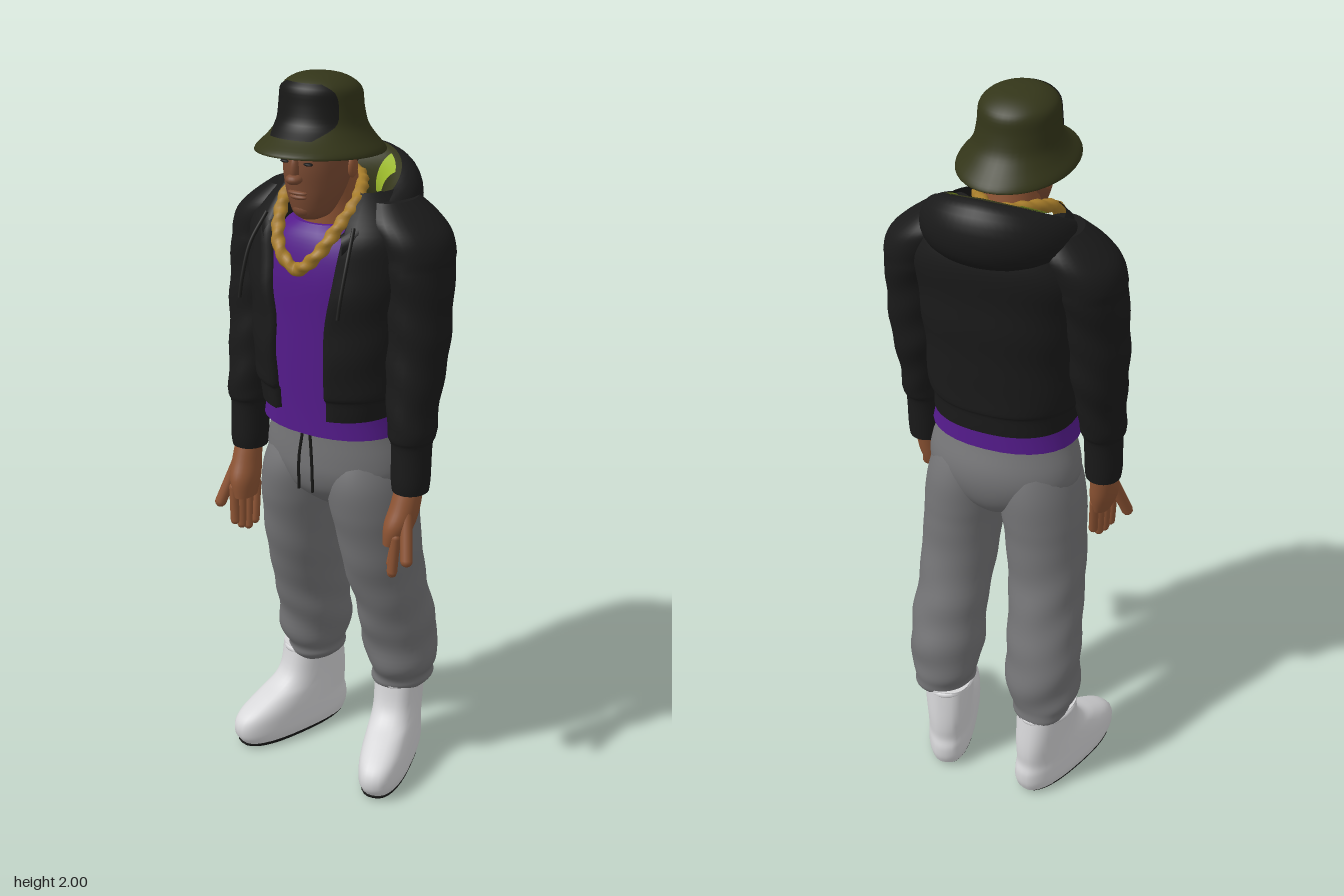
import * as THREE from 'three';

const mat = (name, color, side = THREE.FrontSide) => {
  const m = new THREE.MeshStandardMaterial({ color, side });
  m.name = name;
  return m;
};

// Smooth surface from a rule f(u, v); wrap closes it around u
function grid(nu, nv, wrap, f) {
  const pos = [], idx = [], w = wrap ? nu : nu + 1;
  for (let j = 0; j <= nv; j++) for (let i = 0; i < w; i++) pos.push(...f(i / nu, j / nv));
  for (let j = 0; j < nv; j++) for (let i = 0; i < nu; i++) {
    const a = j * w + i, b = j * w + (i + 1) % w;
    idx.push(a, b, b + w, a, b + w, a + w);
  }
  const g = new THREE.BufferGeometry();
  g.setAttribute('position', new THREE.Float32BufferAttribute(pos, 3));
  g.setIndex(idx);
  g.computeVertexNormals();
  return g;
}

// Catmull-Rom blend of number rows
function smooth(rows, k) {
  const out = [], n = rows.length - 1, at = i => rows[Math.min(n, Math.max(0, i))];
  for (let s = 0; s <= n * k; s++) {
    const i = Math.min(n - 1, Math.floor(s / k)), t = s / k - i;
    out.push(at(i).map((b, c) => {
      const a = at(i - 1)[c], d = at(i + 1)[c], e = at(i + 2)[c];
      return b + 0.5 * t * (d - a + t * (2 * a - 5 * b + 4 * d - e + t * (3 * (b - d) + e - a)));
    }));
  }
  return out;
}

// Stacked rings [y, cx, cz, rx, rz, openX]; power < 1 makes them boxier
function loft(rows, { k = 4, seg = 32, power = 1, mode = 'closed', fold = null } = {}) {
  let r = smooth(rows, k);
  if (mode === 'closed') {
    const flat = q => [q[0], q[1], q[2], 0, 0];
    r = [flat(r[0]), r[0], ...r, r[r.length - 1], flat(r[r.length - 1])];
  }
  const nv = r.length - 1, pw = v => Math.sign(v) * Math.abs(v) ** power;
  return grid(seg, nv, mode === 'closed', (u, v) => {
    const [y, cx, cz, rx, rz, ox] = r[Math.round(v * nv)];
    let a = u * Math.PI * 2, scale = 1;
    if (mode !== 'closed') {
      const h = Math.asin(Math.min(1, Math.max(0, ox / rx)) ** (1 / power));
      if (mode === 'front') a = (u * 2 - 1) * h;
      else {
        const w = Math.min(1, Math.max(0, (u * seg - 1) / (seg - 2)));
        a = h + w * (Math.PI * 2 - 2 * h);
        if (u === 0 || u === 1) scale = 0.9; // front edges turn inward
      }
    }
    if (fold) scale *= 1 + fold(a, y);
    return [cx + rx * scale * pw(Math.sin(a)), y, cz + rz * scale * pw(Math.cos(a))];
  });
}

const tube = (pts, r, closed = false) => new THREE.TubeGeometry(
  new THREE.CatmullRomCurve3(pts.map(p => new THREE.Vector3(...p)), closed), 48, r, 8, closed);

export function createModel() {
  const model = new THREE.Group();
  model.name = 'figure';
  const M = {
    jacket: mat('jacket black', 0x1a1a1a, THREE.DoubleSide),
    shirt: mat('shirt purple', 0x541b8b),
    pants: mat('sweatpants grey', 0x747476),
    shoe: mat('shoe white', 0xd6d6d8),
    skin: mat('skin brown', 0x8c5333),
    face: mat('face brown', 0x7a4a32),
    hat: mat('hat olive', 0x333519),
    dark: mat('charcoal', 0x181817, THREE.DoubleSide),
    gold: mat('gold', 0xa67c2a),
    lime: mat('lime', 0x98b52a, THREE.DoubleSide),
  };
  const add = (name, geo, m, parent = model) => {
    const mesh = new THREE.Mesh(geo, m);
    mesh.name = name;
    parent.add(mesh);
    return mesh;
  };
  const ball = (name, m, p, s) => {
    const b = add(name, new THREE.SphereGeometry(1, 16, 12), m);
    b.position.set(...p);
    b.scale.set(...s);
  };
  const finger = (name, p, q, r) => {
    const a = new THREE.Vector3(...p), b = new THREE.Vector3(...q), d = b.clone().sub(a);
    const f = add(name, new THREE.CapsuleGeometry(r, d.length(), 4, 10), M.skin);
    f.position.copy(a).add(b).multiplyScalar(0.5);
    f.quaternion.setFromUnitVectors(new THREE.Vector3(0, 1, 0), d.normalize());
  };

  // Sweatpants: hips and folded legs
  add('hips', loft([[0.85, 0, -0.01, 0.03, 0.06], [0.88, 0, -0.008, 0.09, 0.1], [0.92, 0, -0.002, 0.17, 0.132],
    [0.97, 0, 0, 0.207, 0.147], [1.02, 0, 0.002, 0.207, 0.147], [1.08, 0, 0.01, 0.19, 0.136], [1.12, 0, 0.015, 0.18, 0.13]],
  { seg: 40 }), M.pants);
  const legRows = [[0.25, 0.15, -0.13, 0.065, 0.078], [0.27, 0.15, -0.13, 0.082, 0.093], [0.295, 0.15, -0.13, 0.082, 0.095],
    [0.34, 0.15, -0.123, 0.098, 0.106], [0.45, 0.145, -0.105, 0.104, 0.113], [0.55, 0.14, -0.075, 0.1, 0.115],
    [0.68, 0.13, -0.035, 0.105, 0.12], [0.8, 0.12, -0.015, 0.108, 0.13], [0.87, 0.112, -0.006, 0.112, 0.138],
    [0.95, 0.102, 0, 0.108, 0.14], [1.02, 0.09, 0, 0.095, 0.122], [1.08, 0.08, 0, 0.07, 0.09]];
  // Shoes in their own frame
  const shoeRows = [[0.014, 0, -0.004, 0.062, 0.182], [0.04, 0, 0, 0.068, 0.195], [0.075, 0, 0, 0.068, 0.196],
    [0.105, 0, -0.008, 0.067, 0.18], [0.14, 0, -0.04, 0.065, 0.149], [0.17, 0, -0.068, 0.064, 0.12],
    [0.21, 0, -0.082, 0.065, 0.102], [0.28, 0, -0.085, 0.068, 0.09]];
  for (const s of [1, -1]) {
    const side = s > 0 ? 'left' : 'right';
    add(side + 'Leg', loft(legRows.map(([y, x, ...q]) => [y, s * x - 0.03 * (1 - y), ...q]), {
      k: 6, seg: 40,
      fold: (a, y) => Math.min(1, Math.max(0, (0.85 - y) * 2)) * (0.03 * Math.sin(y * 50 + 2.6 * Math.sin(a + s) + s)
        + 0.025 * Math.sin(y * 31 - 3 * Math.cos(a - s))),
    }), M.pants);
    add('pantsDrawstring', tube([[s * 0.012, 1.09, 0.152], [s * 0.02, 1.02, 0.157], [s * 0.022, 0.93, 0.156]], 0.004), M.dark);

    const foot = new THREE.Group();
    foot.name = side + 'Shoe';
    foot.position.set(s > 0 ? 0.143 : -0.211, 0, -0.052);
    foot.rotation.y = s * 0.3;
    model.add(foot);
    add('shoeUpper', loft(shoeRows, { power: 0.8 }), M.shoe, foot);
    add('shoeSole', loft([[0, 0, 0, 0.054, 0.165], [0.008, 0, 0, 0.061, 0.18], [0.016, 0, 0, 0.063, 0.186]],
      { power: 0.8 }), M.dark, foot);
    add('shoeCollar', new THREE.TorusGeometry(0.064, 0.01, 8, 28).rotateX(Math.PI / 2).scale(1, 1, 1.3)
      .translate(0, 0.27, -0.085), M.shoe, foot);

    // Sleeve with ribbed cuff
    const sleeve = [[0.965, 0.258, 0.055, 0.047, 0.05], [1.0, 0.258, 0.055, 0.05, 0.054], [1.09, 0.256, 0.05, 0.051, 0.058],
      [1.12, 0.255, 0.048, 0.06, 0.068], [1.2, 0.25, 0.038, 0.064, 0.076], [1.3, 0.245, 0.02, 0.077, 0.085],
      [1.4, 0.242, 0.01, 0.083, 0.09], [1.5, 0.235, 0, 0.084, 0.1], [1.57, 0.226, -0.008, 0.09, 0.108],
      [1.62, 0.205, -0.01, 0.095, 0.112], [1.66, 0.175, -0.012, 0.085, 0.105], [1.7, 0.15, -0.015, 0.055, 0.075]];
    add(side + 'Sleeve', loft(sleeve.map(([y, x, ...q]) => [y, s * x, ...q]), {
      k: 5, fold: (a, y) => y > 1.12 && y < 1.56 ? 0.025 * Math.sin(y * 50 + 2.5 * Math.sin(a * s)) : 0,
    }), M.jacket);

    // Hand
    add(side + 'Palm', loft([[0.83, s * 0.242, 0.1, 0.026, 0.042], [0.88, s * 0.25, 0.091, 0.037, 0.052],
      [0.93, s * 0.256, 0.074, 0.037, 0.046], [0.99, s * 0.258, 0.057, 0.034, 0.038]]), M.skin);
    for (let i = 0; i < 4; i++)
      finger('finger', [s * (0.232 + i * 0.01), 0.855, 0.066 + i * 0.021],
        [s * (0.224 + i * 0.011), 0.735 + Math.abs(i - 1.3) * 0.014, 0.088 + i * 0.015], 0.013);
    finger('thumb', [s * 0.272, 0.92, 0.095], [s * 0.302, 0.805, 0.138], 0.016);

    // Hood cord, ear, eye and brow
    add('hoodCord', tube([[s * 0.13, 1.65, 0.13], [s * 0.145, 1.58, 0.18], [s * 0.148, 1.5, 0.212], [s * 0.148, 1.45, 0.225]], 0.005), M.dark);
    ball('ear', M.skin, [s * 0.083 - 0.004, 1.78, 0.06], [0.01, 0.028, 0.018]);
    ball('eye', M.dark, [s * 0.034 - 0.004, 1.8, 0.175], [0.013, 0.004, 0.008]);
    ball('brow', M.dark, [s * 0.036 - 0.004, 1.818, 0.173], [0.022, 0.004, 0.009]);
  }

  // Shirt
  add('shirt', loft([[1.095, 0, 0.015, 0.2, 0.15], [1.17, 0, 0.017, 0.188, 0.148], [1.3, 0, 0.02, 0.185, 0.148],
    [1.4, 0, 0.015, 0.19, 0.155], [1.5, 0, 0.012, 0.2, 0.16], [1.57, 0, 0.01, 0.195, 0.153],
    [1.615, 0, 0.02, 0.145, 0.128], [1.64, 0, 0.028, 0.095, 0.098]], { power: 0.9 }), M.shirt);

  // Open jacket body
  add('jacketBody', loft([[1.15, 0, 0.02, 0.193, 0.162, 0.078], [1.2, 0, 0.02, 0.197, 0.166, 0.08], [1.22, 0, 0.022, 0.208, 0.174, 0.08],
    [1.3, 0, 0.025, 0.212, 0.175, 0.082], [1.4, 0, 0.02, 0.218, 0.178, 0.083], [1.5, 0, 0.015, 0.23, 0.177, 0.098],
    [1.6, 0, 0.002, 0.24, 0.169, 0.11], [1.66, 0, -0.01, 0.21, 0.152, 0.112], [1.72, 0, -0.02, 0.155, 0.12, 0.112]],
  { seg: 48, power: 0.87, mode: 'open', fold: (a, y) => 0.01 * Math.sin(y * 42 + 3 * Math.cos(a)) }), M.jacket);

  // Hood roll lying around the neck, with its lining
  const hood = (t, phi, grow) => {
    const e = Math.abs(t) / 2.44, w = (0.058 - 0.032 * e * e) * grow, h = (0.085 - 0.055 * e ** 1.5) * grow;
    const c = Math.cos(t), d = w * Math.cos(phi);
    return [Math.sin(t) * (0.155 + d), 1.71 - 0.11 * e * e + h * Math.sin(phi), -0.01 - c * ((c > 0 ? 0.137 : 0.2) + d)];
  };
  add('hood', grid(24, 48, true, (u, v) => hood((v * 2 - 1) * 2.44, u * Math.PI * 2, 1)), M.jacket);
  const lining = (name, m, t0, t1, p0, p1, grow) => add(name,
    grid(12, 32, false, (u, v) => hood(t0 + v * (t1 - t0), p0 + u * (p1 - p0), grow)), m);
  lining('hoodLining', M.hat, -1.75, 1.75, 1.62, 3.7, 1.03);
  for (const s of [1, -1]) lining('hoodLiningPatch', M.lime, s * 0.95 - 0.27, s * 0.95 + 0.27, 1.9, 3.3, 1.07);

  // Neck and head
  add('neck', loft([[1.56, 0, 0.022, 0.095, 0.1], [1.65, 0, 0.03, 0.08, 0.085], [1.7, 0, 0.037, 0.072, 0.075],
    [1.78, 0, 0.05, 0.068, 0.07]]), M.skin);
  add('head', loft([[1.655, -0.003, 0.115, 0.025, 0.03], [1.668, -0.003, 0.11, 0.046, 0.052], [1.7, -0.003, 0.098, 0.062, 0.074],
    [1.74, -0.004, 0.088, 0.075, 0.09], [1.79, -0.004, 0.08, 0.082, 0.102], [1.85, -0.005, 0.07, 0.085, 0.105],
    [1.9, -0.005, 0.065, 0.08, 0.095]]), M.face);
  add('hair', loft([[1.775, -0.004, 0.045, 0.07, 0.07], [1.8, -0.004, 0.05, 0.084, 0.08], [1.86, -0.005, 0.055, 0.088, 0.095]]), M.dark);
  ball('noseBridge', M.face, [-0.004, 1.785, 0.181], [0.011, 0.032, 0.015]);
  ball('noseTip', M.face, [-0.004, 1.762, 0.186], [0.021, 0.013, 0.021]);
  ball('upperLip', M.face, [-0.004, 1.727, 0.172], [0.028, 0.006, 0.013]);
  ball('lowerLip', M.face, [-0.004, 1.716, 0.168], [0.025, 0.007, 0.013]);
  ball('chin', M.face, [-0.004, 1.683, 0.15], [0.028, 0.02, 0.02]);

  // Bucket hat, slightly tilted, with a front panel
  const tilt = g => {
    const p = g.attributes.position;
    for (let i = 0; i < p.count; i++) p.setY(i, p.getY(i) + (p.getZ(i) - 0.06) * 0.08);
    g.computeVertexNormals();
    return g;
  };
  add('bucketHat', tilt(loft([[1.865, -0.006, 0.065, 0.09, 0.1], [1.815, -0.004, 0.073, 0.141, 0.178],
    [1.823, -0.004, 0.073, 0.143, 0.18], [1.85, -0.006, 0.065, 0.122, 0.145], [1.88, -0.008, 0.06, 0.106, 0.117],
    [1.92, -0.01, 0.06, 0.1, 0.106], [1.958, -0.01, 0.06, 0.096, 0.101], [1.978, -0.01, 0.06, 0.08, 0.083],
    [1.992, -0.01, 0.06, 0.05, 0.052], [1.997, -0.01, 0.06, 0.015, 0.016]], { seg: 40 })), M.hat);
  add('hatFrontPanel', tilt(loft([[1.85, -0.006, 0.065, 0.125, 0.148, 0.06], [1.88, -0.008, 0.06, 0.109, 0.12, 0.086],
    [1.92, -0.01, 0.06, 0.103, 0.109, 0.088], [1.958, -0.01, 0.06, 0.099, 0.104, 0.08], [1.976, -0.01, 0.06, 0.086, 0.089, 0.05]],
  { seg: 24, mode: 'front' })), M.dark);

  // Chain: two strands twisted around one loop
  const loop = new THREE.CatmullRomCurve3([[0, 1.54, 0.186], [0.05, 1.575, 0.181], [0.085, 1.64, 0.14], [0.098, 1.71, 0.06],
    [0, 1.735, -0.06], [-0.098, 1.71, 0.06], [-0.085, 1.64, 0.14], [-0.05, 1.575, 0.181]].map(p => new THREE.Vector3(...p)), true);
  add('chain', grid(10, 160, true, (u, v) => {
    const p = loop.getPointAt(v % 1), t = loop.getTangentAt(v % 1), a = -u * Math.PI * 2;
    const n = new THREE.Vector3(0, 0.6, 0.8).cross(t).normalize(), b = t.clone().cross(n);
    const r = 0.016 * (1 + 0.14 * Math.cos(2 * a + v * Math.PI * 40));
    return p.addScaledVector(n, r * Math.cos(a)).addScaledVector(b, -r * Math.sin(a)).toArray();
  }), M.gold);
  return model;
}
